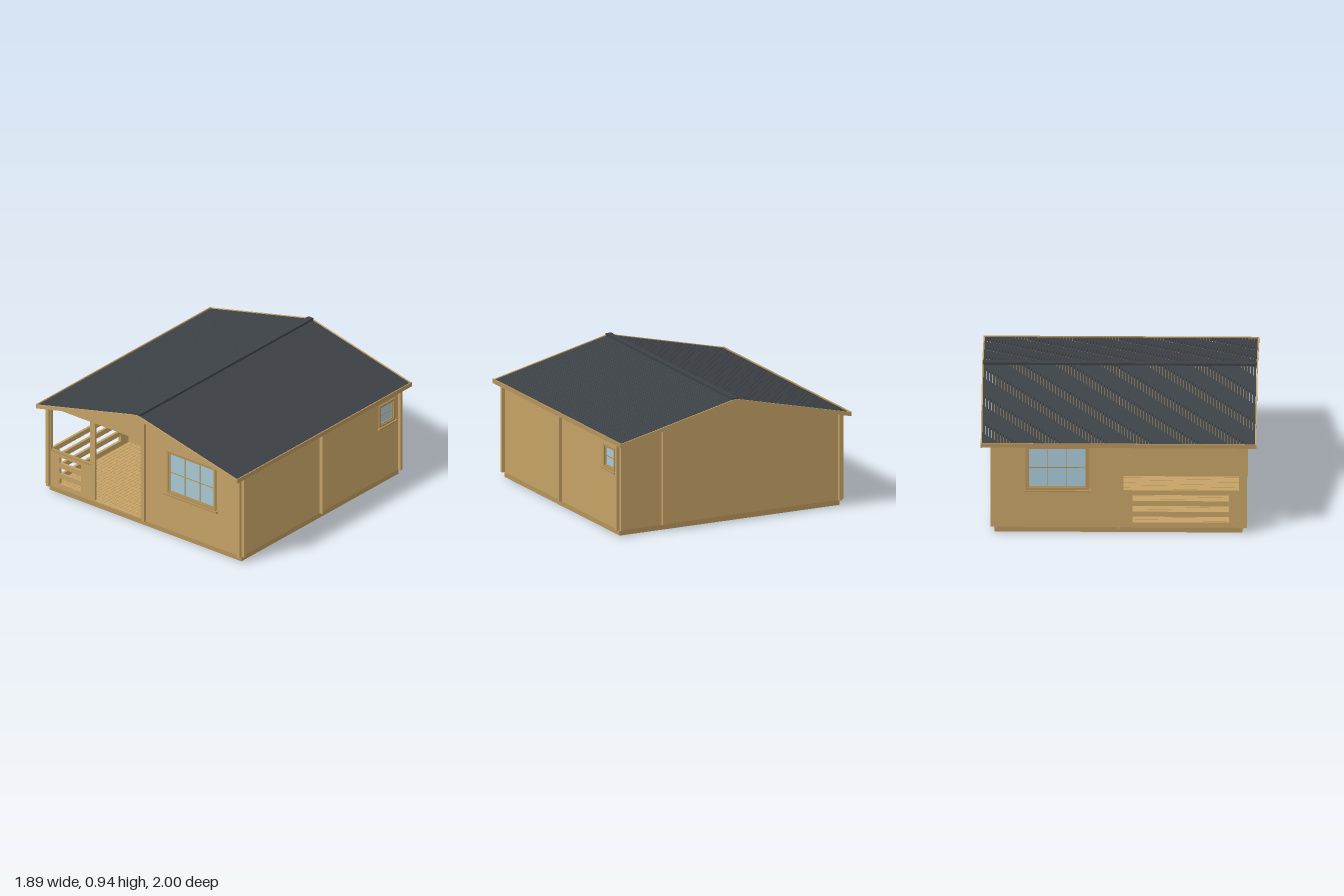
import * as THREE from 'three';

const wood = new THREE.MeshStandardMaterial({ color: 0xc4a265 });
const trim = new THREE.MeshStandardMaterial({ color: 0xb5935a });
const dark = new THREE.MeshStandardMaterial({ color: 0x3c4146 });
const glass = new THREE.MeshStandardMaterial({ color: 0xa9c8d4 });
const black = new THREE.MeshStandardMaterial({ color: 0x1c1c1c });

const T = 0.02;          // wall thickness
const SLOPE = 0.235;     // roof pitch
const under = (x) => 0.908 - SLOPE * Math.abs(x); // underside of the roof

function mesh(parent, name, geometry, material) {
  const m = new THREE.Mesh(geometry, material);
  m.name = name;
  parent.add(m);
  return m;
}

// box given by its limits on each axis
function box(parent, name, x0, x1, y0, y1, z0, z1, material = wood) {
  const m = mesh(parent, name, new THREE.BoxGeometry(x1 - x0, y1 - y0, z1 - z0), material);
  m.position.set((x0 + x1) / 2, (y0 + y1) / 2, (z0 + z1) / 2);
  return m;
}

const polygon = (points) => new THREE.Shape(points.map(([x, y]) => new THREE.Vector2(x, y)));
const rect = ([x0, x1, y0, y1]) => polygon([[x0, y0], [x1, y0], [x1, y1], [x0, y1]]);

// flat wall in the xy plane, centred on its thickness, with rectangular openings
function wall(parent, name, points, holes = []) {
  const shape = polygon(points);
  shape.holes = holes.map(rect);
  const g = new THREE.ExtrudeGeometry(shape, { depth: T, bevelEnabled: false });
  g.translate(0, 0, -T / 2);
  return mesh(parent, name, g, wood);
}

function gableWall(parent, name, z, holes) {
  const e = under(0.93) - 0.002;
  wall(parent, name, [[-0.93, 0.04], [0.93, 0.04], [0.93, e], [0, 0.905], [-0.93, e]], holes).position.z = z;
}

// wall running along z, its shape drawn in (z, y)
function lengthWall(parent, name, x, z0, z1, holes) {
  const y = under(x) - 0.004;
  const m = wall(parent, name, [[z0, 0.04], [z1, 0.04], [z1, y], [z0, y]], holes);
  m.rotation.y = -Math.PI / 2;
  m.position.x = x;
}

// rectangular ring of trim
function frame(parent, name, [x0, x1, y0, y1], b, z0, z1) {
  const s = rect([x0, x1, y0, y1]);
  s.holes = [rect([x0 + b, x1 - b, y0 + b, y1 - b])];
  mesh(parent, name, new THREE.ExtrudeGeometry(s, { depth: z1 - z0, bevelEnabled: false }), trim).position.z = z0;
}

// glazing bars dividing a pane, on both faces of the glass
function glazing(parent, [x0, x1, y0, y1], cols, rows) {
  box(parent, 'glassPane', x0, x1, y0, y1, -0.002, 0.002, glass);
  for (let i = 1; i < cols; i++) {
    const x = x0 + (x1 - x0) * i / cols;
    box(parent, 'glazingBar', x - 0.003, x + 0.003, y0, y1, -0.006, 0.006, trim);
  }
  for (let i = 1; i < rows; i++) {
    const y = y0 + (y1 - y0) * i / rows;
    box(parent, 'glazingBar', x0, x1, y - 0.003, y + 0.003, -0.006, 0.006, trim);
  }
}

// window facing +z, centred on x = 0
function makeWindow(w, y0, y1, cols, rows) {
  const g = new THREE.Group();
  g.name = 'window';
  const h = w / 2;
  frame(g, 'windowTrim', [-h, h, y0, y1], 0.016, -0.015, 0.018);
  frame(g, 'windowSash', [-h + 0.014, h - 0.014, y0 + 0.014, y1 - 0.014], 0.01, -0.01, 0.011);
  glazing(g, [-h + 0.022, h - 0.022, y0 + 0.022, y1 - 0.022], cols, rows);
  box(g, 'windowSill', -h - 0.015, h + 0.015, y0 - 0.013, y0, -0.01, 0.03, trim);
  return g;
}

function doubleDoor() {
  const g = new THREE.Group();
  g.name = 'doubleDoor';
  frame(g, 'doorFrame', [-0.262, 0.262, 0.045, 0.635], 0.016, -0.015, 0.018);
  for (const s of [-1, 1]) {
    const leaf = new THREE.Group();
    leaf.name = 'doorLeaf';
    leaf.position.x = s * 0.124;
    frame(leaf, 'leafFrame', [-0.122, 0.122, 0.06, 0.62], 0.016, -0.01, 0.01);
    glazing(leaf, [-0.106, 0.106, 0.3, 0.604], 3, 3);
    box(leaf, 'middleRail', -0.106, 0.106, 0.28, 0.3, -0.01, 0.01, trim);
    box(leaf, 'lowerPanel', -0.106, 0.106, 0.07, 0.28, -0.005, 0.003);
    for (let i = 0; i < 8; i++) {
      const x = -0.098 + i * 0.028;
      box(leaf, 'panelSlat', x - 0.007, x + 0.007, 0.076, 0.28, 0, 0.008);
    }
    g.add(leaf);
  }
  box(g, 'handlePlate', 0.004, 0.014, 0.325, 0.36, 0.01, 0.014, black);
  box(g, 'doorHandle', -0.014, 0.012, 0.338, 0.344, 0.016, 0.026, black);
  return g;
}

export function createModel() {
  const house = new THREE.Group();
  house.name = 'logCabin';

  // base: rim, joists and floorboards
  for (const s of [-1, 1]) {
    box(house, 'baseRim', s * 0.89 - 0.01, s * 0.89 + 0.01, 0, 0.04, -0.9, 0.9, trim);
  }
  for (let i = 0; i < 11; i++) {
    const z = -0.885 + i * 0.177;
    const top = i % 10 === 0 ? 0.04 : 0.03;
    box(house, 'floorJoist', -0.9, 0.9, 0, top, z - 0.015, z + 0.015, trim);
  }
  const boards = 60, bw = 1.76 / boards;
  for (let i = 0; i < boards; i++) {
    const x = -0.88 + i * bw;
    box(house, 'floorBoard', x, x + bw - 0.002, 0.03, 0.04, -0.87, 0.87);
  }

  // walls, crossing past each other at the corners
  const slots = (a, b) => [[a, b, 0.08, 0.125], [a, b, 0.165, 0.21], [a, b, 0.25, 0.297]];
  gableWall(house, 'frontWall', 0.895, [
    [-0.88, -0.515, 0.335, 0.68], [-0.47, -0.04, 0.05, 0.68], [0.225, 0.655, 0.35, 0.67],
    ...slots(-0.8, -0.6),
  ]);
  gableWall(house, 'backWall', -0.895);
  gableWall(house, 'middleWall', 0, [[-0.715, -0.205, 0.05, 0.625]]);
  lengthWall(house, 'leftWall', 0.895, -0.93, 0.93, [[-0.83, -0.68, 0.475, 0.63]]);
  lengthWall(house, 'rightWall', -0.895, -0.93, 0.93, [
    [0.035, 0.875, 0.335, 0.68], [-0.66, -0.23, 0.35, 0.67], ...slots(0.1, 0.8),
  ]);
  lengthWall(house, 'porchSideWall', 0, 0, 0.93);
  lengthWall(house, 'backPartition', 0.55, -0.93, 0);
  box(house, 'porchRailCap', -0.9, -0.5, 0.325, 0.337, 0.882, 0.908, trim);

  // windows and doors
  const place = (part, x, z, turn = 0) => {
    part.position.set(x, 0, z);
    part.rotation.y = turn;
    house.add(part);
  };
  place(makeWindow(0.46, 0.338, 0.685, 3, 2), 0.44, 0.895);
  place(makeWindow(0.46, 0.338, 0.685, 3, 2), -0.895, -0.445, -Math.PI / 2);
  place(makeWindow(0.18, 0.465, 0.642, 1, 2), 0.895, -0.755, Math.PI / 2);
  place(doubleDoor(), -0.46, 0);

  // roof: narrow boards down each slope
  const count = 90, pitch = 1.98 / count, X = 0.938, thick = 0.024;
  for (const s of [-1, 1]) {
    const shape = polygon([[0, under(0)], [s * X, under(X)], [s * X, under(X) + thick], [0, under(0) + thick]]);
    const g = new THREE.ExtrudeGeometry(shape, { depth: pitch - 0.0015, bevelEnabled: false });
    for (let i = 0; i < count; i++) {
      mesh(house, 'roofBoard', g, dark).position.z = -0.99 + i * pitch;
    }
    box(house, 'eaveFascia', s * 0.9405 - 0.0045, s * 0.9405 + 0.0045, 0.688, 0.72, -1, 1, trim);

    // gable fascia
    const E = 0.945, up = 0.029;
    const chevron = polygon([[-E, under(E)], [0, under(0)], [E, under(E)],
      [E, under(E) + up], [0, under(0) + up], [-E, under(E) + up]]);
    const f = new THREE.ExtrudeGeometry(chevron, { depth: 0.01, bevelEnabled: false });
    mesh(house, 'gableFascia', f, wood).position.z = s > 0 ? 0.99 : -1;
  }
  box(house, 'ridgeCap', -0.022, 0.022, 0.927, 0.945, -0.995, 0.995, dark);

  return house;
}
